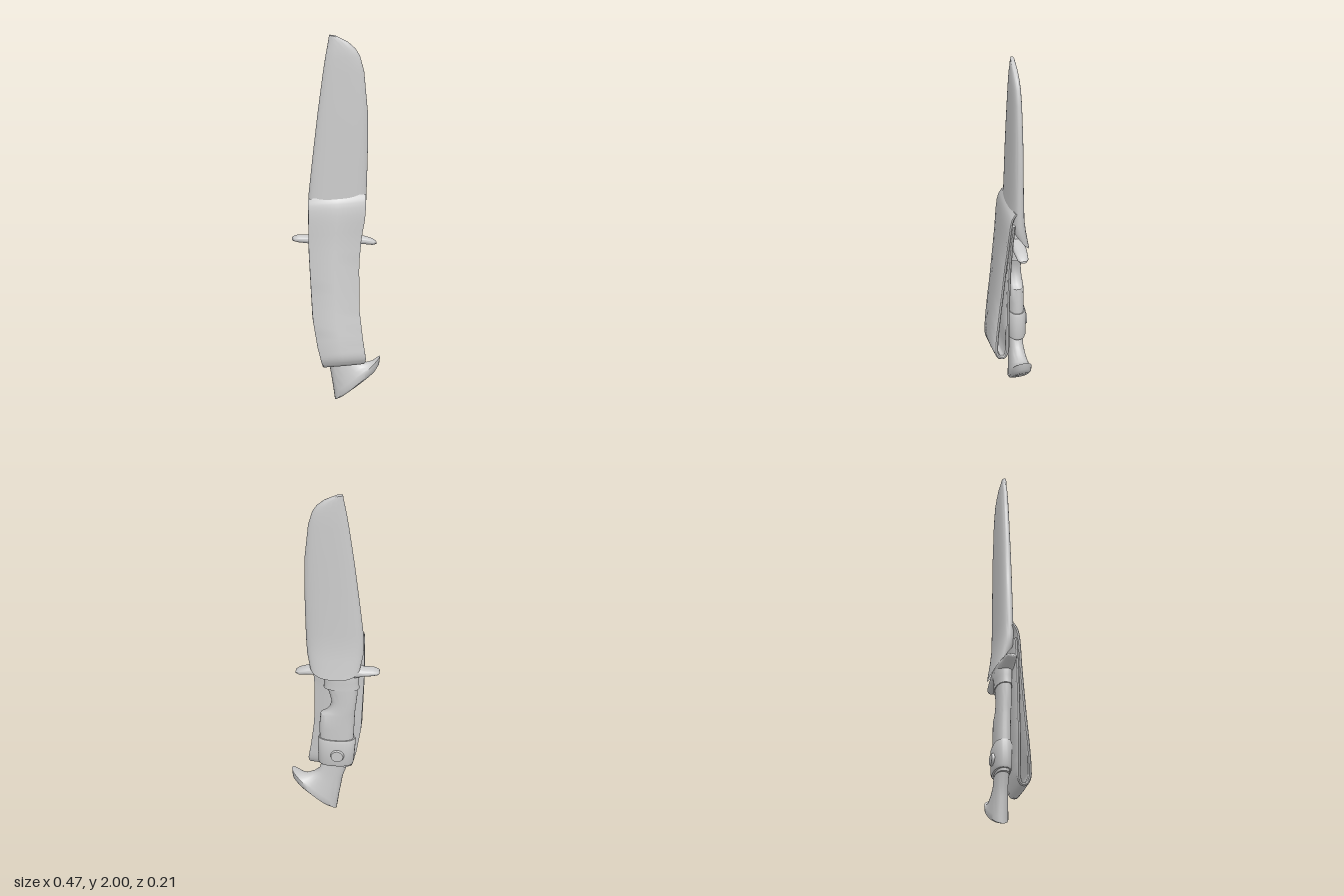
import * as THREE from 'three';
import { toCreasedNormals } from 'three/addons/utils/BufferGeometryUtils.js';

const grey = new THREE.MeshStandardMaterial({ color: 0xcccccc });
const greyDouble = new THREE.MeshStandardMaterial({ color: 0xcccccc, side: THREE.DoubleSide });

// Skin a list of rings (each turning counter-clockwise about the travel direction)
function skin(rings, capStart, capEnd, crease) {
  const n = rings[0].length, pos = [], idx = [];
  rings.forEach(r => r.forEach(p => pos.push(p.x, p.y, p.z)));
  for (let i = 0; i < rings.length - 1; i++) {
    for (let j = 0; j < n; j++) {
      const a = i * n + j, b = i * n + (j + 1) % n;
      idx.push(a, b, a + n, b, b + n, a + n);
    }
  }
  const cap = (ring, base, flip) => {
    const c = ring.reduce((s, p) => s.add(p), new THREE.Vector3()).divideScalar(n);
    const k = pos.length / 3;
    pos.push(c.x, c.y, c.z);
    for (let j = 0; j < n; j++) {
      const a = base + j, b = base + (j + 1) % n;
      if (flip) idx.push(k, b, a); else idx.push(k, a, b);
    }
  };
  if (capStart) cap(rings[0], 0, true);
  if (capEnd) cap(rings[rings.length - 1], (rings.length - 1) * n, false);
  const g = new THREE.BufferGeometry();
  g.setAttribute('position', new THREE.Float32BufferAttribute(pos, 3));
  g.setIndex(idx);
  return toCreasedNormals(g, crease);
}

// Superelliptic loft; station = [ax, ay, bx, by, zCentre, zHalf, tilt]
function loft(stations, { power = 2.4, sides = 28, capStart = true, capEnd = true, crease = 0.8 } = {}) {
  const sp = v => Math.sign(v) * Math.pow(Math.abs(v), 2 / power);
  const rings = stations.map(([ax, ay, bx, by, zc, hz, tilt = 0]) =>
    Array.from({ length: sides }, (_, j) => {
      const t = j / sides * Math.PI * 2, c = sp(Math.cos(t)), s = sp(Math.sin(t));
      return new THREE.Vector3((ax + bx) / 2 + (bx - ax) / 2 * c,
        (ay + by) / 2 + (by - ay) / 2 * c + tilt * s, zc + hz * s);
    }));
  return skin(rings, capStart, capEnd, crease);
}

// Linear lookup in a table of [key, value] with rising keys
function lookup(table, k) {
  for (let i = 1; i < table.length; i++) {
    const [k0, v0] = table[i - 1], [k1, v1] = table[i];
    if (k <= k1) return THREE.MathUtils.lerp(v0, v1, Math.max(0, (k - k0) / (k1 - k0)));
  }
  return table[table.length - 1][1];
}

// Ribbon folded into a long loop in the yz plane, with a width varying by height
function strapGeometry() {
  const path = new THREE.CatmullRomCurve3([
    [1.12, -0.012], [1.08, 0.009], [0.85, 0.03], [0.55, 0.061], [0.32, 0.09], [0.26, 0.092],
    [0.228, 0.075], [0.226, 0.052], [0.26, 0.036], [0.35, 0.03], [0.6, 0.02], [0.85, 0.01], [1.04, 0],
  ].map(([y, z]) => new THREE.Vector3(0, y, z)));
  const left = [[0.2, -0.07], [0.25, -0.085], [0.33, -0.105], [0.48, -0.13], [0.85, -0.15], [1.1, -0.152]];
  const right = [[0.2, 0.145], [0.25, 0.15], [0.35, 0.135], [0.5, 0.118], [0.75, 0.116], [0.9, 0.13], [1, 0.15], [1.1, 0.155]];
  const half = 0.01, count = 64, rings = [];
  const profile = [[1, -0.4], [1, 0.4], [0.94, 1], [0, 1.15], [-0.94, 1], [-1, 0.4], [-1, -0.4], [-0.94, -1], [0, -0.85], [0.94, -1]];
  for (let i = 0; i <= count; i++) {
    const p = path.getPoint(i / count), d = path.getTangent(i / count);
    const l = lookup(left, p.y), r = lookup(right, p.y);
    rings.push(profile.map(([u, v]) => {
      const x = (l + r) / 2 + (r - l) / 2 * u;
      return new THREE.Vector3(x, p.y + d.z * v * half + 0.08 * (x - 0.03), p.z - d.y * v * half);
    }));
  }
  return skin(rings, true, true, 0.7);
}

export function createModel() {
  const model = new THREE.Group();
  const add = (name, geometry, material = grey) => {
    const mesh = new THREE.Mesh(geometry, material);
    mesh.name = name;
    model.add(mesh);
    return mesh;
  };
  // Level station: height, left, right, z centre, z half depth, tilt
  const level = ([y, l, r, zc, hz, tilt]) => [l, y, r, y, zc, hz, tilt];

  // Sheath, open at the mouth with a longer, flared tongue at the back
  add('sheath', loft([
    [-0.04, 2, 0, 1.993, -0.032, 0.011],
    [-0.046, 1.96, 0.06, 1.962, -0.032, 0.016],
    [-0.053, 1.92, 0.1, 1.925, -0.031, 0.02],
    [-0.06, 1.88, 0.124, 1.885, -0.031, 0.023],
    [-0.072, 1.8, 0.146, 1.8, -0.031, 0.026],
    ...[
      [1.58, -0.1, 0.165, -0.031, 0.031],
      [1.4, -0.12, 0.166, -0.031, 0.034],
      [1.25, -0.136, 0.162, -0.032, 0.036],
      [1.12, -0.149, 0.158, -0.033, 0.039],
      [1.05, -0.151, 0.155, -0.034, 0.041],
      [0.99, -0.15, 0.15, -0.039, 0.046, 0.02],
      [0.93, -0.135, 0.135, -0.05, 0.055, 0.075],
    ].map(level),
  ], { power: 2.5, sides: 36, capEnd: false }), greyDouble);

  // Folded belt strap in front of the handle
  add('beltLoop', strapGeometry());

  // Crossguard
  add('guard', loft([
    [-0.235, 0.004, 0.885, 0.016], [-0.228, 0.011, 0.885, 0.026], [-0.2, 0.019, 0.886, 0.033],
    [-0.15, 0.021, 0.882, 0.036], [-0.11, 0.035, 0.885, 0.042], [0.06, 0.035, 0.882, 0.042],
    [0.11, 0.024, 0.878, 0.036], [0.15, 0.02, 0.873, 0.033], [0.19, 0.016, 0.864, 0.029], [0.21, 0.006, 0.859, 0.016],
  ].map(([x, hy, y, hz]) => [x, y - hy, x, y + hy, -0.04, hz])));

  // Collar below the guard
  add('collar', loft([
    [0.94, -0.11, 0.06, -0.036, 0.032],
    [0.87, -0.13, 0.075, -0.041, 0.043],
    [0.82, -0.125, 0.06, -0.041, 0.041],
    [0.775, -0.128, 0.062, -0.041, 0.043],
  ].map(level)));

  // Grip with a finger groove on its edge
  add('grip', loft([
    [0.79, -0.12, 0.05, -0.041, 0.038],
    [0.74, -0.118, 0.032, -0.041, 0.038],
    [0.69, -0.113, 0.02, -0.041, 0.038],
    [0.65, -0.108, 0.028, -0.041, 0.039],
    [0.62, -0.105, 0.05, -0.041, 0.04],
    [0.605, -0.104, 0.078, -0.041, 0.041],
    [0.52, -0.1, 0.085, -0.041, 0.041],
    [0.4, -0.095, 0.08, -0.041, 0.041],
    [0.28, -0.08, 0.07, -0.04, 0.037],
  ].map(level)));

  // Band around the grip with a round stud at the back
  add('band', loft([
    [0.455, -0.104, 0.088, -0.042, 0.046],
    [0.44, -0.109, 0.093, -0.042, 0.051],
    [0.31, -0.098, 0.09, -0.042, 0.051],
    [0.295, -0.092, 0.086, -0.042, 0.046],
  ].map(level)));
  const stud = add('stud', new THREE.CylinderGeometry(0.038, 0.032, 0.02, 20));
  stud.rotation.x = Math.PI / 2;
  stud.position.set(-0.015, 0.365, -0.094);

  // Beaked pommel, sweeping out to a hook
  add('pommel', loft([
    [-0.075, 0.31, 0.068, 0.3, -0.04, 0.036],
    [-0.04, 0.21, 0.085, 0.245, -0.04, 0.037],
    [-0.03, 0.15, 0.115, 0.22, -0.04, 0.041],
    [-0.02, 0.09, 0.16, 0.203, -0.04, 0.047],
    [-0.013, 0.04, 0.2, 0.213, -0.04, 0.052],
    [-0.008, 0.004, 0.23, 0.237, -0.04, 0.055],
    [0.015, 0.014, 0.225, 0.195, -0.04, 0.052],
    [0.06, 0.045, 0.205, 0.16, -0.04, 0.036],
    [0.1, 0.078, 0.165, 0.125, -0.04, 0.015],
  ]));
  return model;
}
